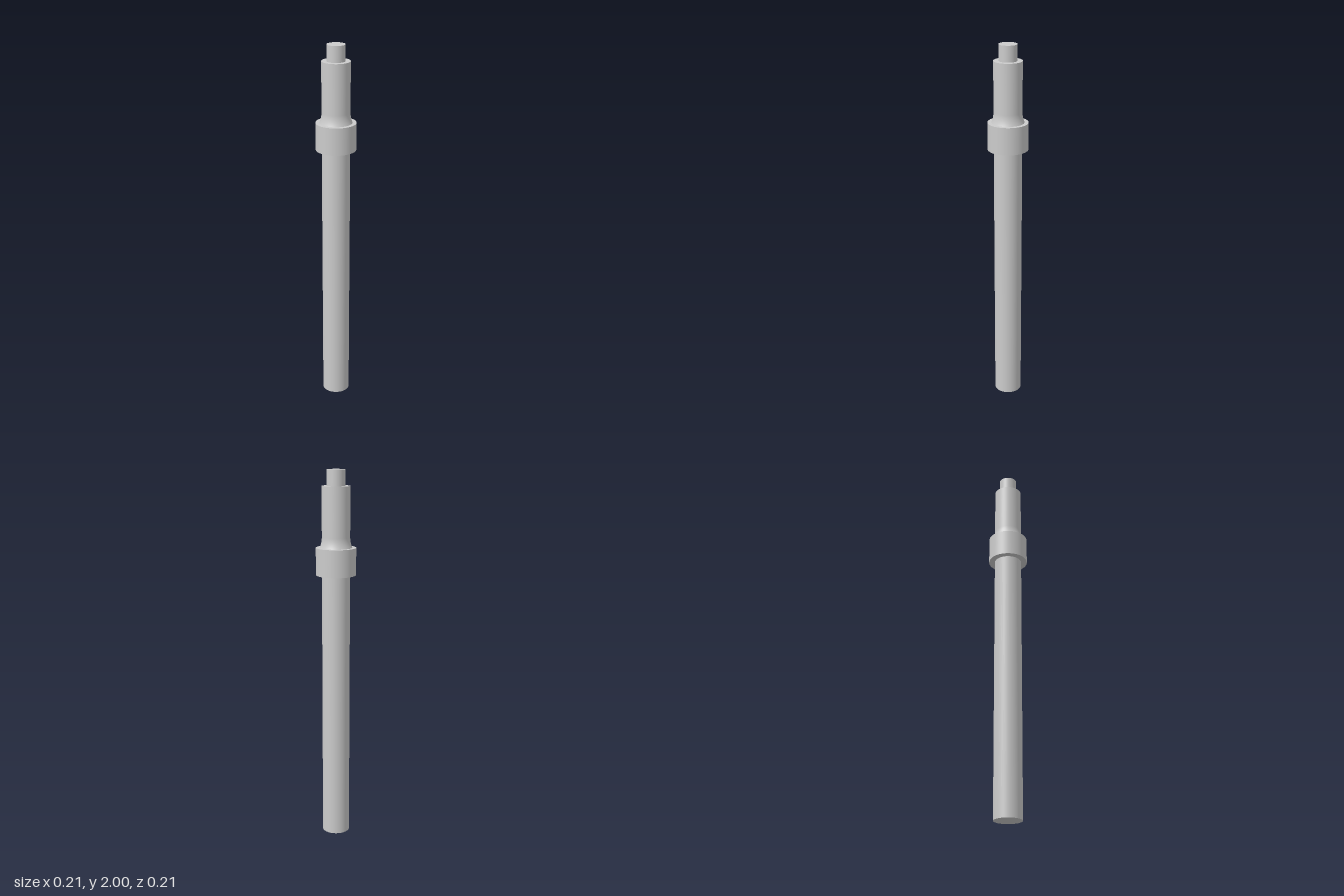
import * as THREE from 'three';

const SEGMENTS = 96;
const material = new THREE.MeshStandardMaterial({ color: 0xcccccc });

// Surface of revolution; each run of [radius, y] points is smooth, with sharp edges between runs
function turned(name, runs) {
  const part = new THREE.Group();
  part.name = name;
  runs.forEach((run, i) => {
    const points = run.map(([r, y]) => new THREE.Vector2(r, y));
    const mesh = new THREE.Mesh(new THREE.LatheGeometry(points, SEGMENTS), material);
    mesh.name = `${name}Surface${i + 1}`;
    part.add(mesh);
  });
  return part;
}

export function createModel() {
  const shaftR = 0.074, collarR = 0.106, filletR = 0.085, tipR = 0.048;
  const collarBottom = 1.456, collarTop = 1.6, filletTop = 1.655, shoulder = 1.917, top = 2;

  // Concave flare where the upper shaft meets the collar
  const neck = [];
  for (let i = 0; i <= 10; i++) {
    const t = i / 10;
    neck.push([shaftR + (filletR - shaftR) * (1 - t) ** 2, collarTop + (filletTop - collarTop) * t]);
  }
  neck.push([shaftR, shoulder]);

  const model = new THREE.Group();
  model.name = 'steppedShaft';
  model.add(
    // Long lower shaft with its flat end
    turned('lowerShaft', [
      [[0, 0], [shaftR, 0]],
      [[shaftR, 0], [shaftR, collarBottom]],
    ]),
    // Wide collar
    turned('collar', [
      [[shaftR, collarBottom], [collarR, collarBottom]],
      [[collarR, collarBottom], [collarR, collarTop]],
      [[collarR, collarTop], [filletR, collarTop]],
    ]),
    // Flared upper shaft and its shoulder
    turned('upperShaft', [
      neck,
      [[shaftR, shoulder], [tipR, shoulder]],
    ]),
    // Narrow end pin
    turned('endPin', [
      [[tipR, shoulder], [tipR, top]],
      [[tipR, top], [0, top]],
    ]),
  );
  return model;
}
